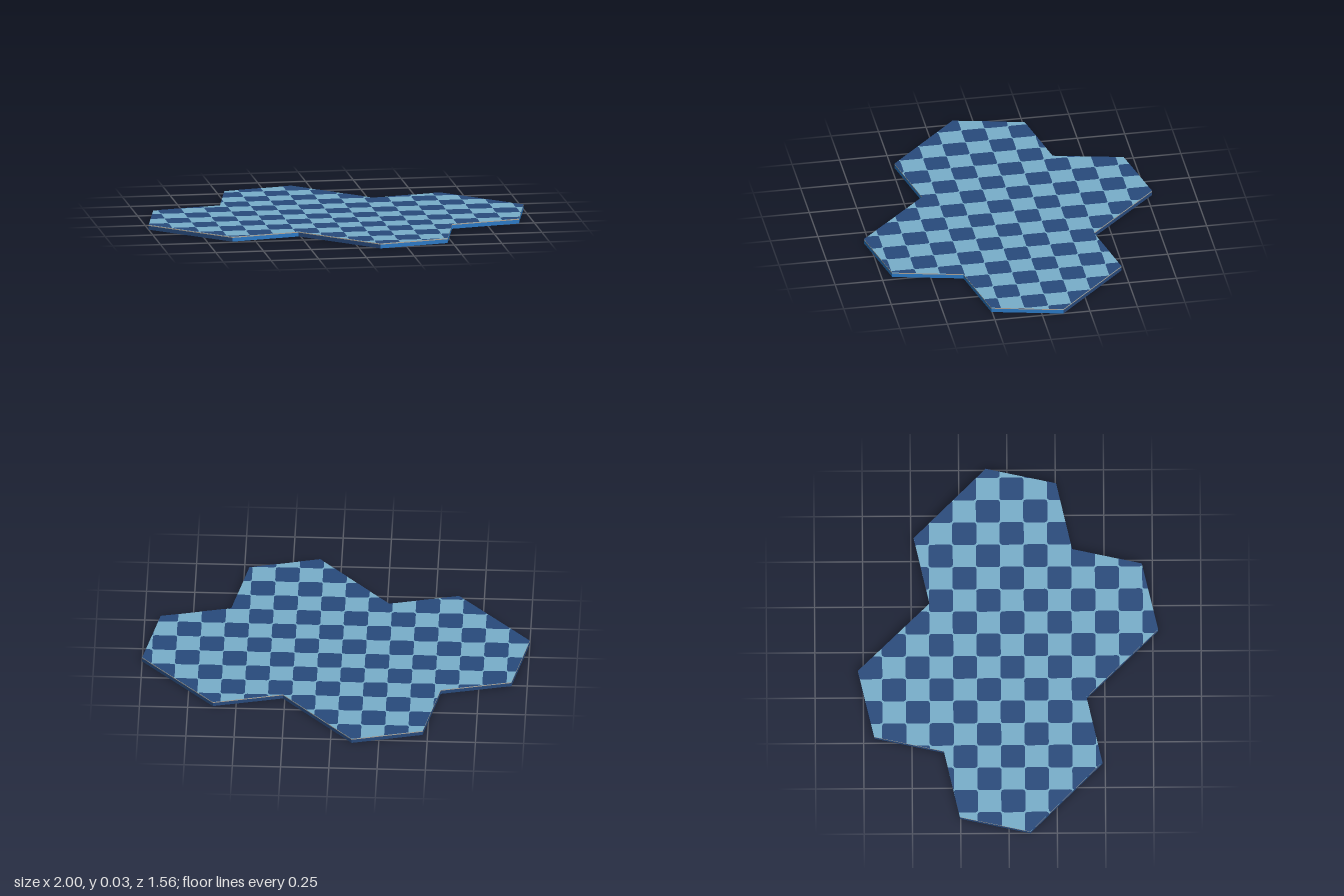
import * as THREE from 'three';

const material = (name, color) => {
  const m = new THREE.MeshStandardMaterial({ color });
  m.name = name;
  return m;
};

// Half of the outline as [x, z]; the other half is its point reflection
const half = [[-0.11, -0.778], [0.26, -0.405], [0.62, -0.485], [1, -0.11],
  [0.918, 0.254], [0.555, 0.335], [0.474, 0.695]];
const outline = [...half, ...half.map(([x, z]) => [-x, -z])];

const HEIGHT = 0.026, RIM = 0.02, PITCH = 0.1228, CHECK = 0.125;

// Flat face from [x, z] points, looking up or down
function flatFace(points, y, up = true) {
  const s = up ? -1 : 1;
  const g = new THREE.ShapeGeometry(new THREE.Shape(points.map(([x, z]) => new THREE.Vector2(x, s * z))));
  return g.rotateX(s * Math.PI / 2).translate(0, y, 0);
}

// Upright band along the given outline edges
function band(edges, y0, y1) {
  const pos = [];
  for (const [a, b] of edges) {
    const quad = [[b, y0], [a, y0], [a, y1], [b, y0], [a, y1], [b, y1]];
    for (const [p, y] of quad) pos.push(p[0], y, p[1]);
  }
  const g = new THREE.BufferGeometry();
  g.setAttribute('position', new THREE.Float32BufferAttribute(pos, 3));
  g.computeVertexNormals();
  return g;
}

// Check square with rounded corners
function roundedSquare(cx, cz) {
  const r = 0.014, h = CHECK / 2, pts = [];
  for (let q = 0; q < 4; q++) {
    const mid = (q + 0.5) * Math.PI / 2;
    const ox = cx + Math.sign(Math.cos(mid)) * (h - r), oz = cz + Math.sign(Math.sin(mid)) * (h - r);
    for (let i = 0; i <= 3; i++) {
      const t = (q + i / 3) * Math.PI / 2;
      pts.push([ox + r * Math.cos(t), oz + r * Math.sin(t)]);
    }
  }
  return pts;
}

// Part of a polygon lying inside a convex one
function clip(poly, convex) {
  convex.forEach((a, i) => {
    const b = convex[(i + 1) % convex.length];
    const side = (p) => (b[0] - a[0]) * (p[1] - a[1]) - (b[1] - a[1]) * (p[0] - a[0]);
    const out = [];
    poly.forEach((p, j) => {
      const q = poly[(j + 1) % poly.length], sp = side(p), sq = side(q);
      if (sp >= 0) out.push(p);
      if ((sp >= 0) !== (sq >= 0)) {
        const t = sp / (sp - sq);
        out.push([p[0] + (q[0] - p[0]) * t, p[1] + (q[1] - p[1]) * t]);
      }
    });
    poly = out;
  });
  return poly;
}

export function createModel() {
  const model = new THREE.Group();
  model.name = 'checkeredFloorTile';
  const teal = material('pale teal', 0x78aeca);
  const indigo = material('indigo', 0x284a7c);
  const blue = material('side blue', 0x2a78c4);
  const stone = material('rim beige', 0xb0a598);
  const add = (parent, name, geometry, mat) => {
    const mesh = new THREE.Mesh(geometry, mat);
    mesh.name = name;
    parent.add(mesh);
  };

  // Slab: top, underside and sides
  add(model, 'topFace', flatFace(outline, HEIGHT - 0.001), teal);
  add(model, 'underside', flatFace(outline, 0, false), indigo);
  const edges = outline.map((p, i) => [p, outline[(i + 1) % outline.length]]);
  // Sides turned to the front or left are blue, the rest indigo
  const isBlue = ([a, b]) => (b[0] - a[0]) * (b[1] - a[1]) < 0 && b[1] - a[1] > b[0] - a[0];
  add(model, 'blueSides', band(edges.filter(isBlue), 0, RIM), blue);
  add(model, 'darkSides', band(edges.filter((e) => !isBlue(e)), 0, RIM), indigo);
  add(model, 'topRim', band(edges, RIM, HEIGHT - 0.001), stone);

  // Dark checks trimmed to the outline
  const checks = new THREE.Group();
  checks.name = 'darkChecks';
  model.add(checks);
  for (let i = -9; i <= 9; i++) {
    for (let j = -7; j <= 8; j++) {
      if ((i + j) % 2 !== 0) continue;
      const piece = clip(outline, roundedSquare(0.029 + i * PITCH, -0.1 + j * PITCH));
      if (piece.length > 2) add(checks, 'check', flatFace(piece, HEIGHT), indigo);
    }
  }
  return model;
}
